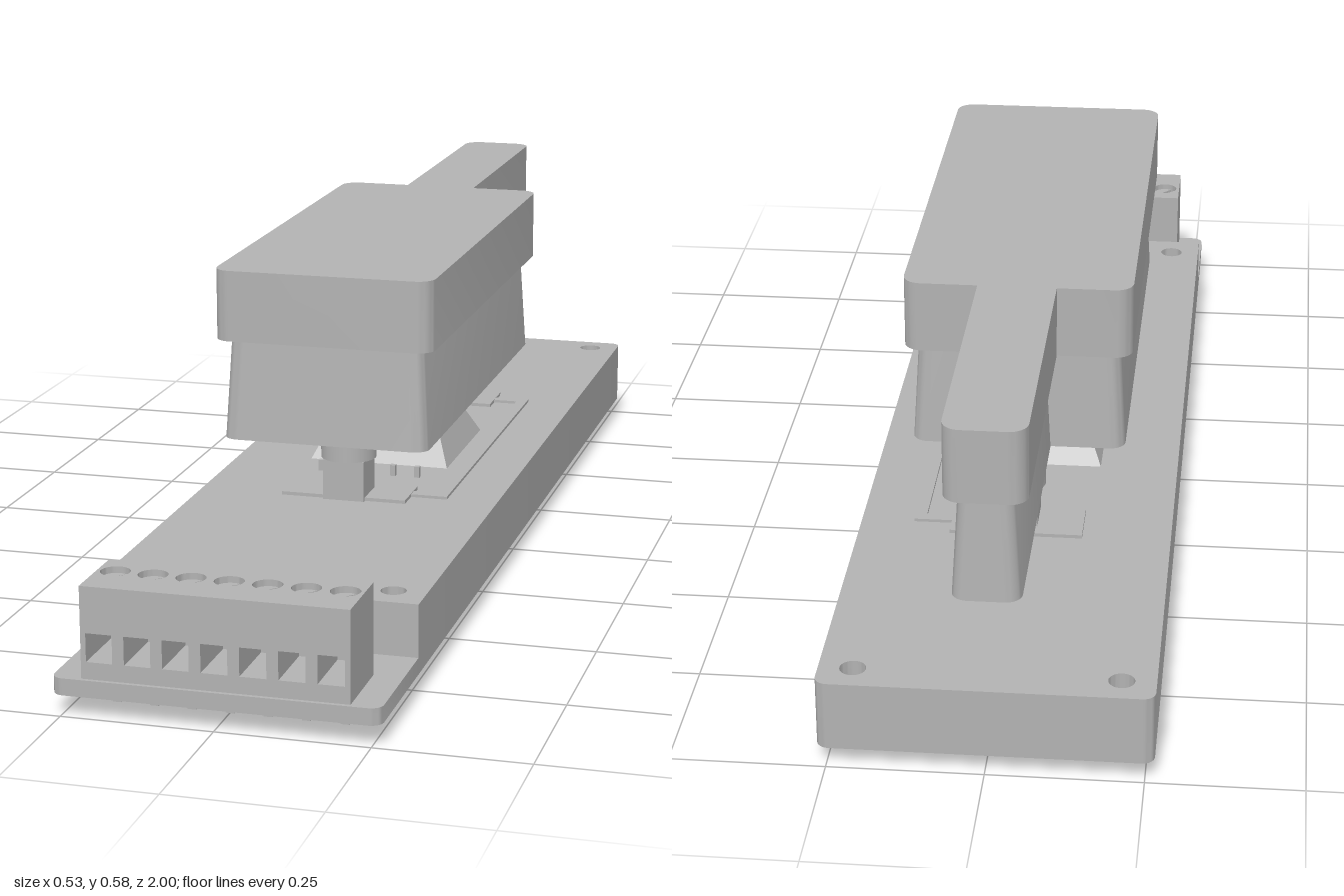
import * as THREE from 'three';
import { toCreasedNormals } from 'three/addons/utils/BufferGeometryUtils.js';

// Closed loop from [x, z, radius] corners, counter-clockwise from above
function roundedLoop(corners) {
  const out = [];
  corners.forEach(([x, z, r], i) => {
    const p = new THREE.Vector2(x, -z);
    if (!r) { out.push(p); return; }
    const n = corners.length;
    const toward = ([qx, qz]) => p.clone().add(new THREE.Vector2(qx, -qz).sub(p).setLength(r));
    const a = toward(corners[(i + n - 1) % n]), b = toward(corners[(i + 1) % n]);
    const c = a.clone().add(b).sub(p);
    for (let k = 0; k <= 8; k++) {
      const t = k / 8 * Math.PI / 2;
      out.push(new THREE.Vector2(
        c.x + (a.x - c.x) * Math.cos(t) + (b.x - c.x) * Math.sin(t),
        c.y + (a.y - c.y) * Math.cos(t) + (b.y - c.y) * Math.sin(t)));
    }
  });
  return out;
}

// Extrude a plan outline from y0 to y1, with round holes [x, z, r]
function slab(loop, y0, y1, holes = []) {
  const shape = new THREE.Shape(loop);
  holes.forEach(([x, z, r]) => shape.holes.push(new THREE.Path().absarc(x, -z, r, 0, Math.PI * 2, true)));
  const g = new THREE.ExtrudeGeometry(shape, { depth: y1 - y0, bevelEnabled: false, curveSegments: 20 });
  g.rotateX(-Math.PI / 2).translate(0, y0, 0);
  return toCreasedNormals(g, 0.6);
}

// Strip surface through a list of [loop, y] rings
function loft(rings) {
  const n = rings[0][0].length, pos = [], idx = [];
  rings.forEach(([loop, y]) => loop.forEach((p) => pos.push(p.x, y, -p.y)));
  for (let r = 0; r < rings.length - 1; r++) {
    for (let i = 0; i < n; i++) {
      const j = (i + 1) % n, a = r * n + i, b = r * n + j, c = a + n, d = b + n;
      idx.push(c, d, b, c, b, a);
    }
  }
  const g = new THREE.BufferGeometry();
  g.setAttribute('position', new THREE.Float32BufferAttribute(pos, 3));
  g.setIndex(idx);
  return toCreasedNormals(g, 0.6);
}

// Paddle outline: wide body with a narrow handle at the back, inset by d
const paddle = (d, r) => roundedLoop([
  [-0.192 + d, 0.4 - d, r], [0.192 - d, 0.4 - d, r], [0.192 - d, -0.445 + d, r],
  [0.066 - d, -0.445 + d, 0], [0.066 - d, -0.967 + d, r], [-0.066 + d, -0.967 + d, r],
  [-0.066 + d, -0.445 + d, 0], [-0.192 + d, -0.445 + d, r],
]);

export function createModel() {
  const model = new THREE.Group();
  const grey = new THREE.MeshStandardMaterial({ color: 0xb2b2b2 });
  const add = (name, geo) => {
    const m = new THREE.Mesh(geo, grey);
    m.name = name;
    model.add(m);
    return m;
  };
  const box = (name, x0, x1, y0, y1, z0, z1) => add(name, new THREE.BoxGeometry(x1 - x0, y1 - y0, z1 - z0)
    .translate((x0 + x1) / 2, (y0 + y1) / 2, (z0 + z1) / 2));
  const cyl = (name, r, y0, y1, x, z, seg = 32) => add(name,
    new THREE.CylinderGeometry(r, r, y1 - y0, seg).translate(x, (y0 + y1) / 2, z));

  // Base with four mounting holes and a thin front ledge
  const W = 0.265, R = 0.02;
  const mounts = [];
  for (const x of [-0.21, 0.21]) for (const z of [-0.95, 0.715]) mounts.push([x, z, 0.021]);
  add('base', slab(roundedLoop([[-W, 0.77, 0], [W, 0.77, 0], [W, -1, R], [-W, -1, R]]), 0.035, 0.152, mounts));
  add('frontLedge', slab(roundedLoop([[-W, 1, R], [W, 1, R], [W, 0.77, 0], [-W, 0.77, 0]]), 0.035, 0.063));

  // Terminal block: wire openings in front, screws on top, pins below
  const B = 0.216, pitch = 0.062, zBack = 0.86, zFront = 0.993;
  const face = new THREE.Shape([[-B, 0.063], [B, 0.063], [B, 0.195], [-B, 0.195]].map((p) => new THREE.Vector2(...p)));
  const wells = [];
  for (let i = -3; i <= 3; i++) {
    const x = i * pitch, h = 0.0215;
    face.holes.push(new THREE.Path([[x - h, 0.091], [x - h, 0.138], [x + h, 0.138], [x + h, 0.091]]
      .map((p) => new THREE.Vector2(...p))));
    wells.push([x, 0.912, 0.024]);
    // Screw head as two halves either side of the slot
    for (const turn of [0.8, 0.8 + Math.PI]) {
      const half = new THREE.Shape().absarc(0, 0, 0.022, turn + 0.2, turn + Math.PI - 0.2, false);
      const g = new THREE.ExtrudeGeometry(half, { depth: 0.009, bevelEnabled: false, curveSegments: 12 });
      add('terminalScrew', g.rotateX(-Math.PI / 2).translate(x, 0.195, 0.912));
    }
    box('terminalPin', x - 0.007, x + 0.007, 0, 0.036, 0.905, 0.919);
  }
  add('terminalBody', new THREE.ExtrudeGeometry(face, { depth: 0.11, bevelEnabled: false }).translate(0, 0, zFront - 0.11));
  box('terminalBack', -B, B, 0.063, 0.195, zBack, zFront - 0.11);
  add('terminalTop', slab(roundedLoop([[-B, zFront, 0], [B, zFront, 0], [B, zBack, 0], [-B, zBack, 0]]), 0.195, 0.214, wells));

  // Paddle: solid cap over a flared shell, open below
  add('paddleCap', slab(paddle(0, 0.03), 0.462, 0.585));
  add('paddleShell', loft([
    [paddle(0.021, 0.026), 0.462], [paddle(0.011, 0.026), 0.286],
    [paddle(0.033, 0.016), 0.286], [paddle(0.033, 0.016), 0.462],
  ]));

  // End switches: footplate, square stem and round plunger
  for (const z of [0.227, -0.448]) {
    box('switchPlate', -0.115, 0.11, 0.15, 0.158, z - 0.062, z + 0.03);
    box('switchStem', -0.037, 0.037, 0.152, 0.224, z - 0.037, z + 0.037);
    cyl('switchPlunger', 0.049, 0.224, 0.463, 0, z);
  }

  // Central pivot: sloped pedestal and post
  const rect = (x, z0, z1) => roundedLoop([[-x, z0, 0], [x, z0, 0], [x, z1, 0], [-x, z1, 0]]);
  add('pivotPedestal', loft([[rect(0.1, -0.025, -0.205), 0.215], [rect(0.13, 0.025, -0.25), 0.15]]));
  box('pedestalTop', -0.1, 0.1, 0.212, 0.2155, -0.205, -0.025);
  const post = cyl('pivotPost', 0.05, 0.213, 0.463, 0, -0.11);
  post.scale.x = 1.22;

  // Thin raised rim along one side
  box('rimSide', 0.155, 0.175, 0.15, 0.157, -0.475, 0.213);
  box('rimBack', 0.06, 0.155, 0.15, 0.157, -0.475, -0.455);
  box('rimFront', 0.11, 0.155, 0.15, 0.157, 0.193, 0.213);

  // Row of contact pins through the base, and two pegs below
  for (let i = -2; i <= 2; i++) {
    box('contactPin', i * 0.045 - 0.005, i * 0.045 + 0.005, 0.02, 0.172, 0.085, 0.095);
  }
  for (const x of [-0.09, 0.09]) cyl('locatingPeg', 0.015, 0.027, 0.036, x, -0.11, 20);

  // Small pins hanging inside the paddle
  for (const z of [-0.26, -0.36]) box('paddlePin', -0.006, 0.006, 0.28, 0.463, z - 0.006, z + 0.006);

  return model;
}
